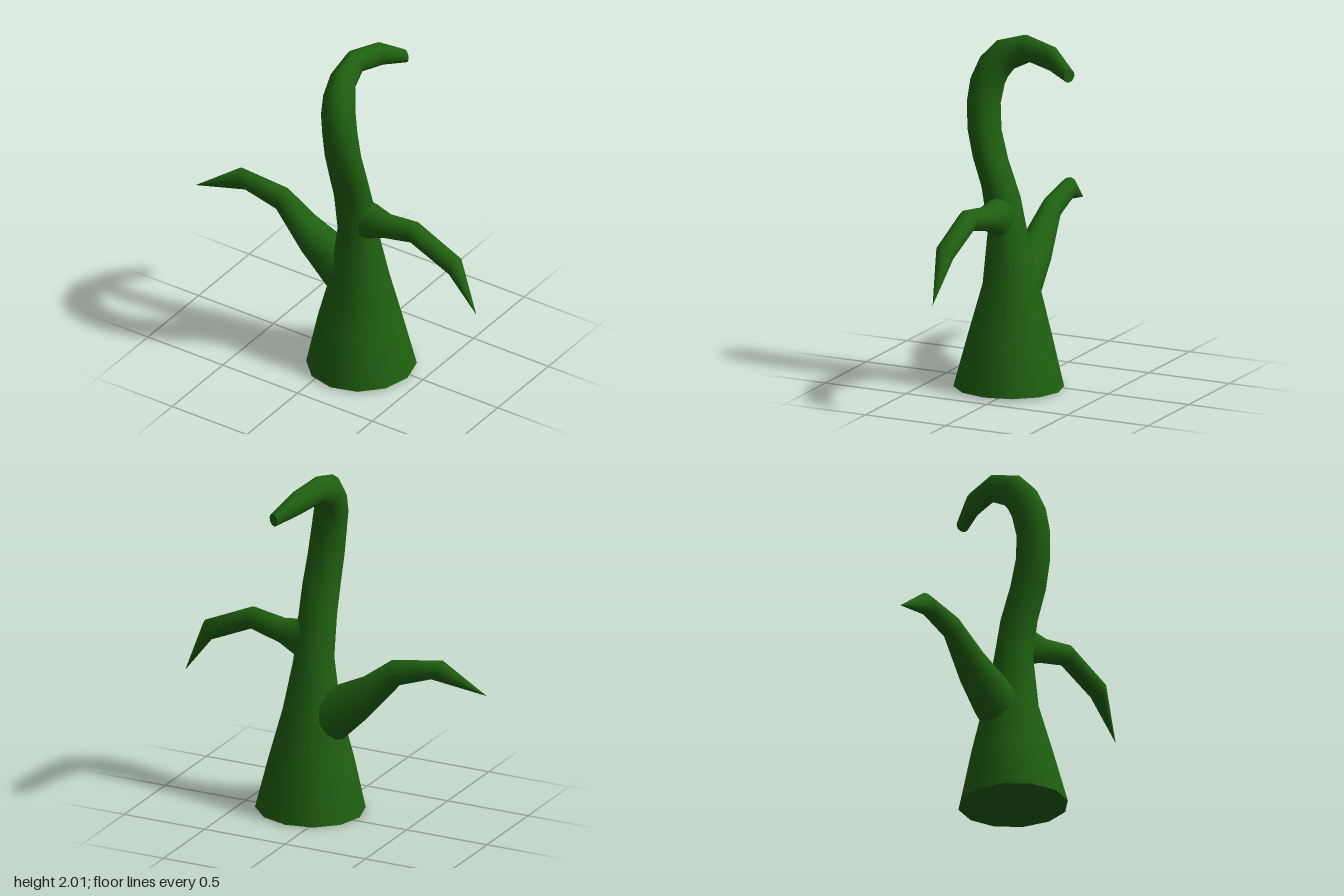
import * as THREE from 'three';

const SIDES = 12;

// Skin a limb over oval rings. Each ring: [outer edge point, inner edge point, half width].
function loft(name, rings, material) {
  const outer = rings.map((r) => new THREE.Vector3(...r[0]));
  const inner = rings.map((r) => new THREE.Vector3(...r[1]));
  const centre = rings.map((r, i) => outer[i].clone().add(inner[i]).multiplyScalar(0.5));
  const pos = [], index = [], last = rings.length - 1;
  const addRing = (i) => {
    const u = outer[i].clone().sub(centre[i]);
    const t = centre[Math.min(i + 1, last)].clone().sub(centre[Math.max(i - 1, 0)]);
    const w = t.cross(u).normalize().multiplyScalar(rings[i][2]);
    for (let j = 0; j < SIDES; j++) {
      const a = (j / SIDES) * Math.PI * 2;
      const p = centre[i].clone().addScaledVector(u, Math.cos(a)).addScaledVector(w, Math.sin(a));
      pos.push(p.x, p.y, p.z);
    }
  };
  rings.forEach((_, i) => addRing(i));
  for (let i = 0; i < last; i++) {
    for (let j = 0; j < SIDES; j++) {
      const k = (j + 1) % SIDES, a = i * SIDES, b = a + SIDES;
      index.push(a + j, a + k, b + j, a + k, b + k, b + j);
    }
  }
  // Flat end caps with their own vertices, so the rims stay sharp
  for (const [i, flip] of [[0, true], [last, false]]) {
    if (rings[i][2] === 0) continue;
    const s = pos.length / 3;
    addRing(i);
    for (let j = 1; j < SIDES - 1; j++) {
      if (flip) index.push(s, s + j + 1, s + j);
      else index.push(s, s + j, s + j + 1);
    }
  }
  const geometry = new THREE.BufferGeometry();
  geometry.setAttribute('position', new THREE.Float32BufferAttribute(pos, 3));
  geometry.setIndex(index);
  geometry.computeVertexNormals();
  const mesh = new THREE.Mesh(geometry, material);
  mesh.name = name;
  return mesh;
}

export function createModel() {
  const group = new THREE.Group();
  group.name = 'vineCreature';
  const green = new THREE.MeshStandardMaterial({ color: 0x1f6010 });

  // Trunk flaring to the base, curling over backwards at the top:
  // [x, front y, front z, back y, back z, half width]
  const trunk = [
    [0.125, 0, 0.36, 0, -0.255, 0.307],
    [0.117, 0.3, 0.28, 0.3, -0.18, 0.24],
    [0.113, 0.59, 0.2, 0.59, -0.11, 0.162],
    [0.11, 0.9, 0.175, 0.86, -0.045, 0.115],
    [0.11, 1.14, 0.215, 1.07, 0.0, 0.11],
    [0.115, 1.3, 0.265, 1.28, 0.075, 0.11],
    [0.108, 1.45, 0.302, 1.45, 0.12, 0.105],
    [0.095, 1.6, 0.315, 1.6, 0.13, 0.1],
    [0.075, 1.73, 0.305, 1.71, 0.112, 0.096],
    [0.06, 1.85, 0.26, 1.755, 0.09, 0.088],
    [0.043, 1.95, 0.165, 1.8, 0.06, 0.072],
    [0.035, 2.0, 0.0, 1.85, -0.04, 0.058],
    [0.083, 1.968, -0.2, 1.825, -0.2, 0.047],
    [0.155, 1.87, -0.34, 1.795, -0.335, 0.036],
  ];
  group.add(loft('trunk', trunk.map(([x, y1, z1, y2, z2, w]) => [[x, y1, z1], [x, y2, z2], w]), green));

  // Drooping arms: [top x, top y, bottom x, bottom y, z, half width]
  const arm = (name, rows) =>
    group.add(loft(name, rows.map(([x1, y1, x2, y2, z, w]) => [[x1, y1, z], [x2, y2, z], w]), green));
  arm('leftArm', [
    [0.12, 1.11, 0.12, 0.83, 0.08, 0.085],
    [0.22, 1.092, 0.22, 0.88, 0.083, 0.082],
    [0.32, 1.07, 0.32, 0.93, 0.095, 0.07],
    [0.52, 1.1, 0.51, 0.975, 0.108, 0.058],
    [0.81, 0.97, 0.77, 0.86, 0.112, 0.055],
    [0.935, 0.65, 0.935, 0.65, 0.115, 0],
  ]);
  arm('rightArm', [
    [0.06, 0.71, 0.0, 0.37, 0.045, 0.12],
    [-0.03, 0.75, -0.09, 0.45, 0.045, 0.115],
    [-0.21, 0.835, -0.23, 0.59, 0.05, 0.095],
    [-0.38, 0.96, -0.43, 0.82, 0.055, 0.056],
    [-0.68, 1.0, -0.62, 0.885, 0.075, 0.052],
    [-0.935, 0.82, -0.935, 0.82, 0.125, 0],
  ]);
  return group;
}
